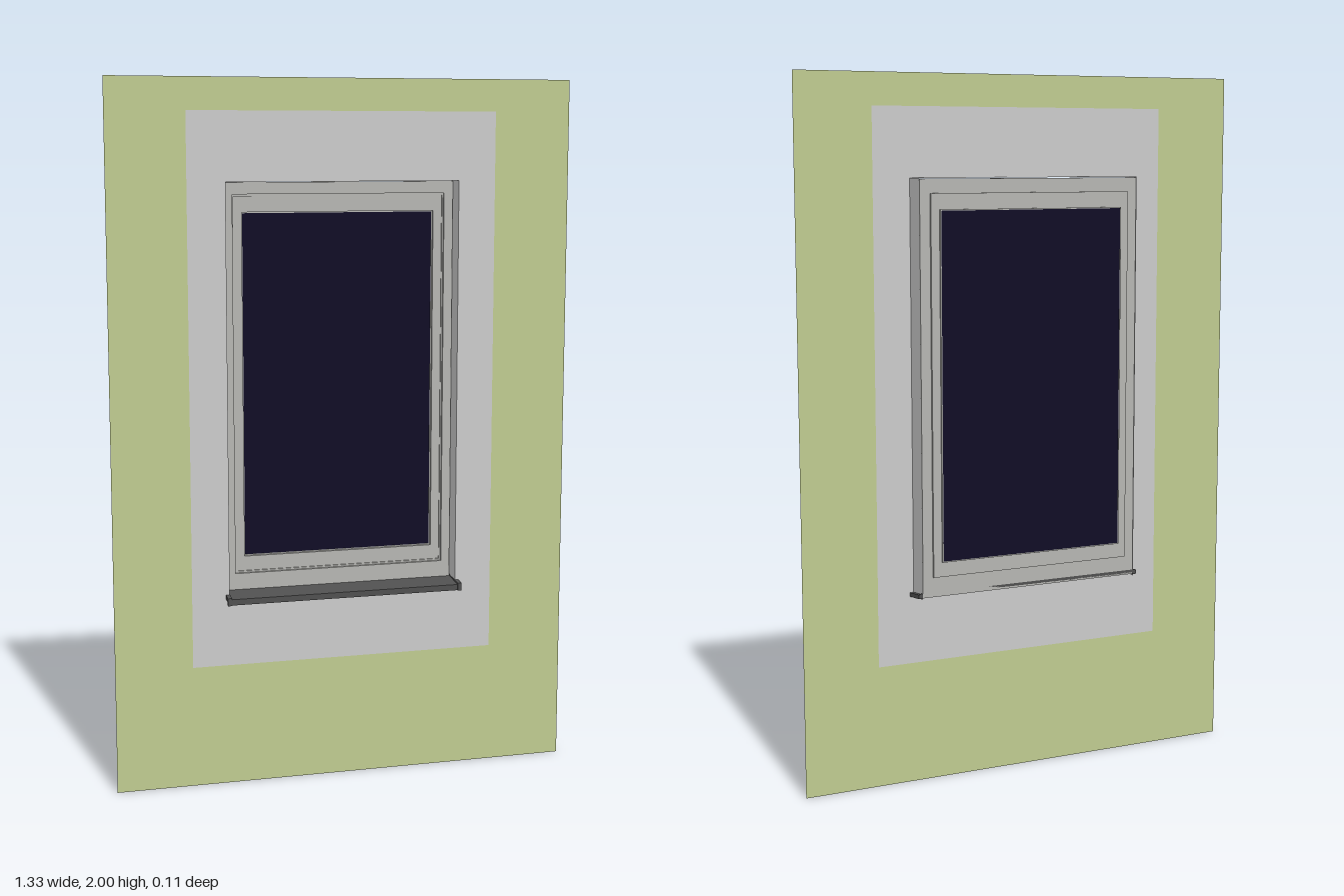
import * as THREE from 'three';

const WALL_Z = 0.024, BACK_Z = -0.041;
const material = (color) => new THREE.MeshStandardMaterial({ color, side: THREE.DoubleSide });

// Rectangle [x half-width, bottom, top] traced on a Shape or Path
function rect(path, [x, y0, y1]) {
  path.moveTo(-x, y0).lineTo(x, y0).lineTo(x, y1).lineTo(-x, y1).closePath();
  return path;
}

function ringShape(outer, inner) {
  const shape = rect(new THREE.Shape(), outer);
  shape.holes.push(rect(new THREE.Path(), inner));
  return shape;
}

export function createModel() {
  const group = new THREE.Group();
  const grey = material(0xcccccc);
  const frameGrey = material(0xb6b6b2);
  const dark = material(0x505050);

  const add = (name, geometry, mat, x = 0, y = 0, z = 0) => {
    const mesh = new THREE.Mesh(geometry, mat);
    mesh.name = name;
    mesh.position.set(x, y, z);
    group.add(mesh);
    return mesh;
  };
  // Rectangular frame between two depths
  const addFrame = (name, outer, inner, z0, z1) =>
    add(name, new THREE.ExtrudeGeometry(ringShape(outer, inner),
      { depth: z1 - z0, bevelEnabled: false }), frameGrey, 0, 0, z0);

  const wall = [0.667, 0, 2];
  const border = [0.445, 0.35, 1.91];
  const opening = [0.337, 0.548, 1.717];
  const rebate = [0.309, 0.605, 1.682];
  const sash = [0.305, 0.61, 1.676];
  const pane = [0.28, 0.652, 1.632];

  // Thin wall with its plaster surround
  add('wall', new THREE.ShapeGeometry(ringShape(wall, border)), material(0xbfcb90), 0, 0, WALL_Z);
  add('surround', new THREE.ShapeGeometry(ringShape(border, opening)), grey, 0, 0, WALL_Z);

  // Reveal lining the sides and top of the opening
  const depth = WALL_Z - BACK_Z, midZ = (WALL_Z + BACK_Z) / 2;
  const height = opening[2] - opening[1];
  for (const side of [-1, 1]) {
    const jamb = add(side > 0 ? 'leftReveal' : 'rightReveal', new THREE.PlaneGeometry(depth, height),
      grey, side * opening[0], opening[1] + height / 2, midZ);
    jamb.rotation.y = side * Math.PI / 2;
  }
  const head = add('topReveal', new THREE.PlaneGeometry(opening[0] * 2, depth), grey, 0, opening[2], midZ);
  head.rotation.x = -Math.PI / 2;

  // Stepped window frame, each ring further back than the last
  addFrame('outerFrame', [0.335, 0.553, 1.715], rebate, BACK_Z, -0.024);
  addFrame('rebateFrame', [0.32, 0.595, 1.695], sash, BACK_Z, -0.032);
  addFrame('sash', sash, pane, -0.048, -0.036);
  addFrame('glazingBead', pane, [0.277, 0.655, 1.629], -0.054, -0.044);

  // Glass
  add('glass', new THREE.BoxGeometry(0.556, 0.976, 0.007), material(0x100d26), 0, 1.142, -0.0495);

  // Sloping sheet sill with a drip lip, profile in (z, y)
  const profile = new THREE.Shape([
    [-0.041, 0.566], [-0.037, 0.566], [-0.035, 0.559], [0.052, 0.549], [0.052, 0.532],
    [0.049, 0.532], [0.049, 0.545], [-0.041, 0.555],
  ].map(([z, y]) => new THREE.Vector2(z, y)));
  const sill = add('sill', new THREE.ExtrudeGeometry(profile, { depth: 0.69, bevelEnabled: false }),
    dark, 0.345, 0, 0);
  sill.rotation.y = -Math.PI / 2;
  sill.scale.set(1, 1, 1);

  // Raised caps closing the sill ends
  const capShape = new THREE.Shape([
    [-0.041, 0.552], [0.049, 0.542], [0.049, 0.531], [0.054, 0.531], [0.054, 0.553], [-0.041, 0.564],
  ].map(([z, y]) => new THREE.Vector2(z, y)));
  for (const side of [-1, 1]) {
    const cap = add(side > 0 ? 'leftSillCap' : 'rightSillCap',
      new THREE.ExtrudeGeometry(capShape, { depth: 0.012, bevelEnabled: false }),
      dark, side > 0 ? 0.348 : -0.336, 0, 0);
    cap.rotation.y = -Math.PI / 2;
  }
  return group;
}
